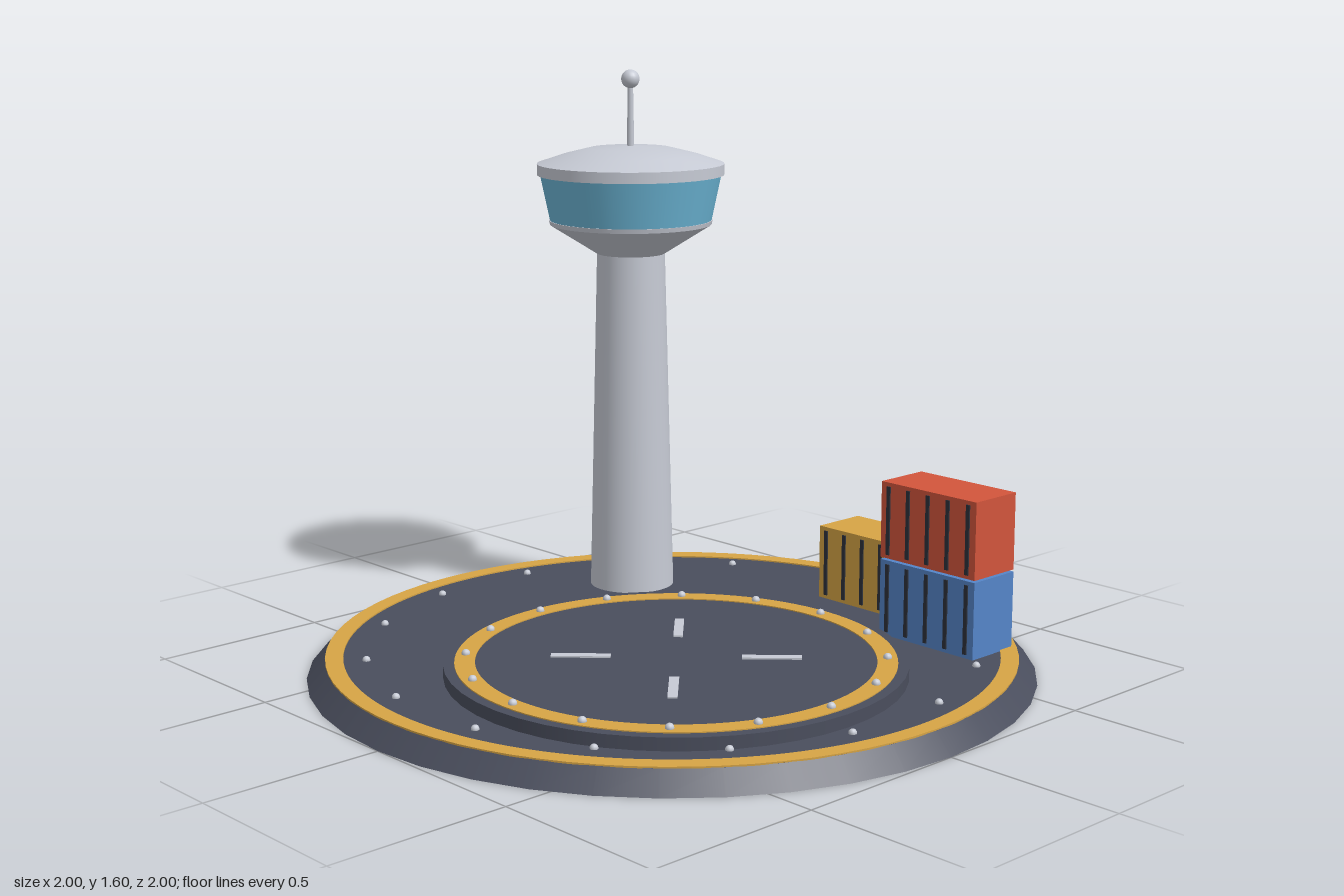
import * as THREE from 'three';

const mat = (name, color) => {
  const m = new THREE.MeshStandardMaterial({ color });
  m.name = name;
  return m;
};

export function createModel() {
  const deckGrey = mat('deck grey', 0x4a4e5d);
  const yellow = mat('marking yellow', 0xd6a445);
  const lightGrey = mat('light grey', 0xc6cad4);
  const glass = mat('window blue', 0x6cb6d6);
  const red = mat('container red', 0xd2553c);
  const blue = mat('container blue', 0x5585c8);
  const dark = mat('rib dark', 0x2d313b);

  const model = new THREE.Group();
  model.name = 'landingPlatform';

  const add = (parent, name, geometry, material, x = 0, y = 0, z = 0) => {
    const mesh = new THREE.Mesh(geometry, material);
    mesh.name = name;
    mesh.position.set(x, y, z);
    parent.add(mesh);
    return mesh;
  };
  const group = (name, x = 0, y = 0, z = 0) => {
    const g = new THREE.Group();
    g.name = name;
    g.position.set(x, y, z);
    model.add(g);
    return g;
  };
  // Frustum between two heights
  const drum = (parent, name, material, rBottom, rTop, y0, y1, sides = 40) =>
    add(parent, name, new THREE.CylinderGeometry(rTop, rBottom, y1 - y0, sides), material, 0, (y0 + y1) / 2, 0);
  // Thin flat band lying on a deck
  const band = (parent, name, outer, inner, y, sides) => {
    const shape = new THREE.Shape(new THREE.Path().absarc(0, 0, outer, 0, Math.PI * 2).getPoints(sides / 2));
    shape.holes.push(new THREE.Path().absarc(0, 0, inner, 0, Math.PI * 2, true));
    const geo = new THREE.ExtrudeGeometry(shape, { depth: 0.005, bevelEnabled: false, curveSegments: sides });
    geo.rotateX(-Math.PI / 2);
    return add(parent, name, geo, yellow, 0, y, 0);
  };
  // Evenly spaced lamps around a circle
  const lamps = (parent, name, radius, size, y, offset) => {
    const geo = new THREE.SphereGeometry(size, 10, 8);
    for (let i = 0; i < 16; i++) {
      const a = (i + offset) * Math.PI / 8;
      add(parent, name, geo, lightGrey, Math.cos(a) * radius, y, Math.sin(a) * radius);
    }
  };

  // Base disc
  const base = group('base');
  drum(base, 'baseDisc', deckGrey, 1, 0.95, 0, 0.055);
  band(base, 'baseRing', 0.949, 0.9, 0.054, 80);
  lamps(base, 'baseLamp', 0.838, 0.011, 0.057, 0.5);

  // Raised landing pad
  const pad = group('landingPad', 0.165, 0, 0.14);
  drum(pad, 'padDisc', deckGrey, 0.62, 0.62, 0.05, 0.09, 48);
  band(pad, 'padRing', 0.59, 0.535, 0.088, 96);
  lamps(pad, 'padLamp', 0.563, 0.012, 0.095, 0);
  for (let i = 0; i < 4; i++) {
    const a = Math.PI / 4 + i * Math.PI / 2;
    const dash = add(pad, 'padDash', new THREE.BoxGeometry(0.16, 0.007, 0.026), lightGrey,
      Math.cos(a) * 0.255, 0.091, -Math.sin(a) * 0.255);
    dash.rotation.y = a;
  }

  // Control tower
  const tower = group('controlTower', -0.54, 0, -0.342);
  drum(tower, 'column', lightGrey, 0.125, 0.1, 0.05, 1.07);
  drum(tower, 'cabFloor', lightGrey, 0.1, 0.238, 1.06, 1.147);
  drum(tower, 'cabSill', lightGrey, 0.238, 0.241, 1.147, 1.16);
  drum(tower, 'cabWindows', glass, 0.238, 0.266, 1.16, 1.293);
  drum(tower, 'roofRim', lightGrey, 0.275, 0.275, 1.293, 1.325);
  const roofProfile = [[0.275, 1.325], [0.2, 1.35], [0.12, 1.37], [0, 1.377]];
  add(tower, 'roof', new THREE.LatheGeometry(roofProfile.map(p => new THREE.Vector2(...p)), 40), lightGrey);
  drum(tower, 'antenna', lightGrey, 0.011, 0.008, 1.37, 1.56, 12);
  add(tower, 'antennaBall', new THREE.SphereGeometry(0.027, 20, 14), lightGrey, 0, 1.57, 0);

  // Cargo containers with dark ribs on the front
  const container = (name, material, x, y, z) => {
    const g = group(name, x, y, z);
    add(g, 'containerBody', new THREE.BoxGeometry(0.336, 0.217, 0.167), material);
    for (let i = -2; i <= 2; i++) {
      add(g, 'containerRib', new THREE.BoxGeometry(0.012, 0.195, 0.008), dark, i * 0.0705, 0, 0.0835);
    }
  };
  container('yellowContainer', yellow, 0.126, 0.1635, -0.722);
  container('blueContainer', blue, 0.49, 0.1635, -0.58);
  container('redContainer', red, 0.49, 0.3865, -0.58);

  return model;
}
